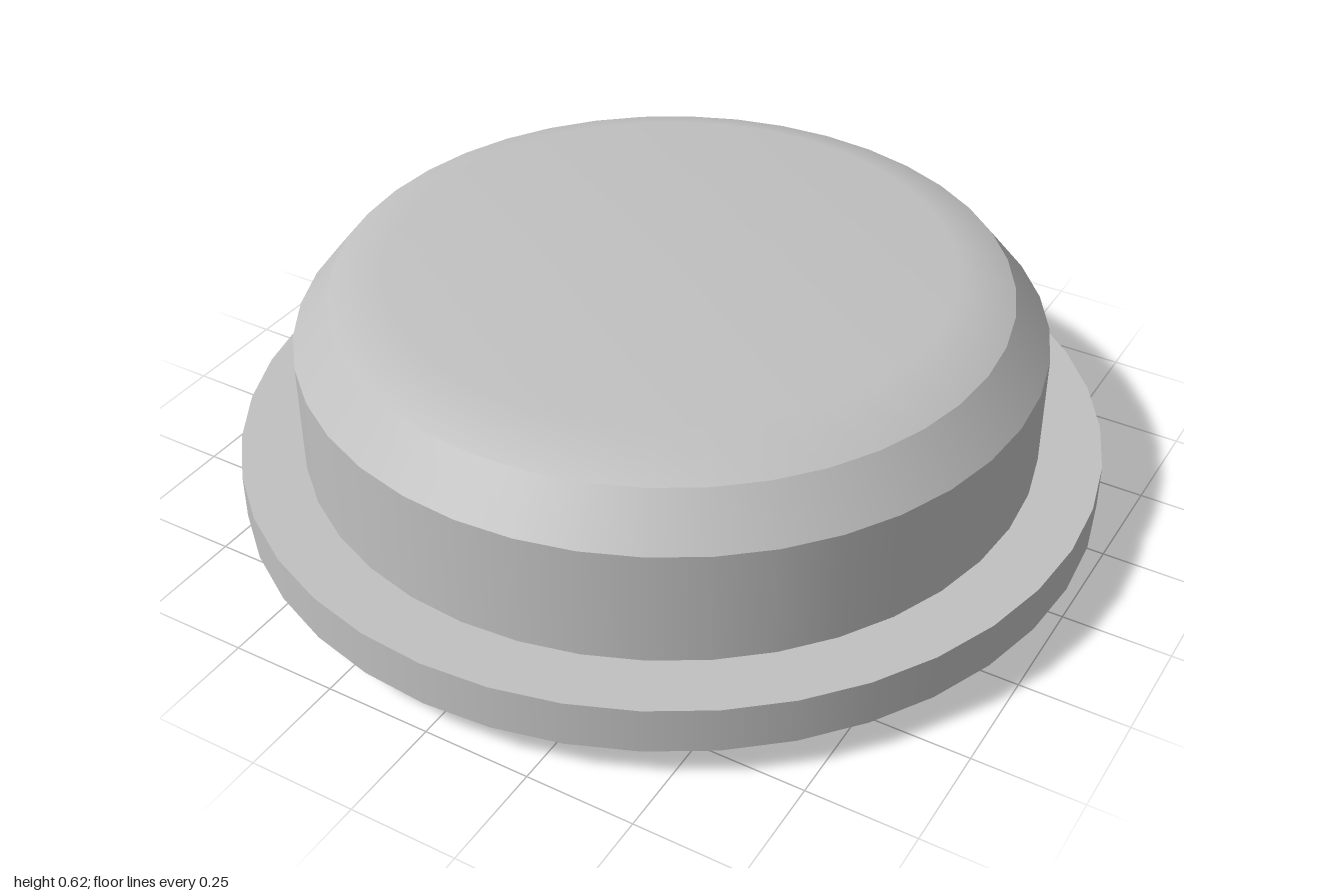
import * as THREE from 'three';

const SIDES = 40;

export function createModel() {
  const group = new THREE.Group();
  const grey = new THREE.MeshStandardMaterial({ color: 0xc0c0c0 });
  grey.name = 'grey';

  const add = (name, geometry, y = 0) => {
    const mesh = new THREE.Mesh(geometry, grey);
    mesh.name = name;
    mesh.position.y = y;
    group.add(mesh);
  };
  const disc = (name, radius, bottom, top) =>
    add(name, new THREE.CylinderGeometry(radius, radius, top - bottom, SIDES), (bottom + top) / 2);
  // Profile points run from the bottom outwards edge up to the axis
  const turned = (name, points) =>
    add(name, new THREE.LatheGeometry(points.map(([r, y]) => new THREE.Vector2(r, y)), SIDES));

  // Short stem and wide flange
  disc('stem', 0.355, 0, 0.08);
  disc('flange', 1, 0.08, 0.19);

  // Cap: straight wall, steep bevel and softly rounded crown
  turned('capWall', [[0.855, 0.19], [0.855, 0.46]]);
  turned('capBevel', [[0.855, 0.46], [0.77, 0.565]]);
  turned('capCrown', [[0.77, 0.565], [0.64, 0.617], [0, 0.617]]);

  return group;
}
